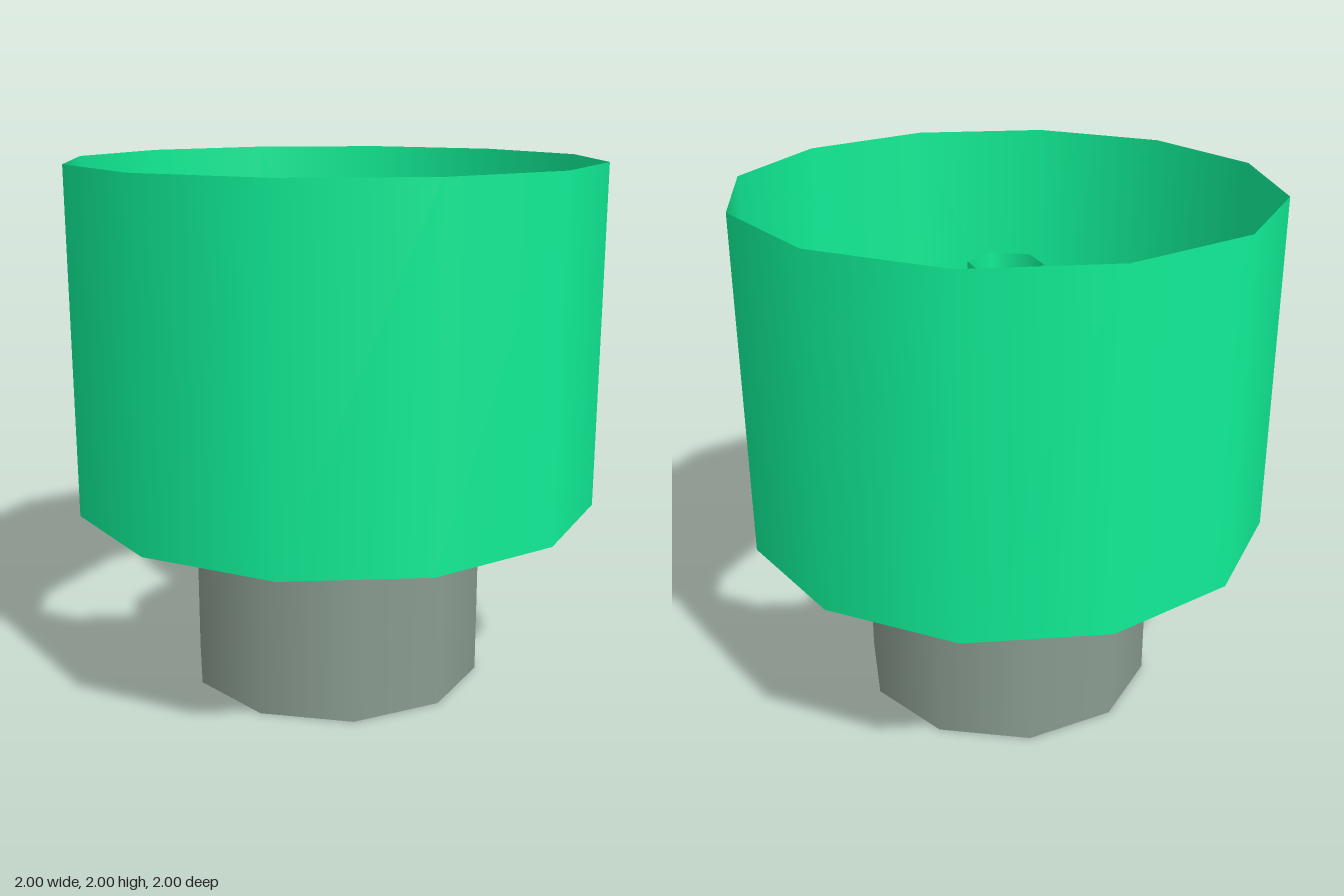
import * as THREE from 'three';

const U = 1 / 7; // design unit: the outer shell has a radius of 7 units

const green = new THREE.MeshStandardMaterial({ color: 0x10ee96, side: THREE.DoubleSide });
const greyGreen = new THREE.MeshStandardMaterial({ color: 0x8a9c90, side: THREE.DoubleSide });

// Open, thin-walled upright tube with corners on the x axis
function tube(name, radius, bottom, top, sides, material) {
  const geometry = new THREE.CylinderGeometry(
    radius * U, radius * U, (top - bottom) * U, sides, 1, true, Math.PI / 2);
  const mesh = new THREE.Mesh(geometry, material);
  mesh.name = name;
  mesh.position.y = (bottom + top) / 2 * U;
  return mesh;
}

export function createModel() {
  const model = new THREE.Group();
  model.name = 'shadedLamp';

  // Base, wide shade and slim holder, all open at both ends
  model.add(
    tube('base', 4, 0, 5, 10, greyGreen),
    tube('shade', 7, 5, 14, 12, green),
    tube('holder', 1, 7, 12, 6, green));

  // Small smooth-shaded four-sided bulb around the holder
  const bulb = new THREE.Mesh(new THREE.SphereGeometry(1.5 * U, 4, 2), green);
  bulb.name = 'bulb';
  bulb.position.y = 9.5 * U;
  model.add(bulb);

  return model;
}
